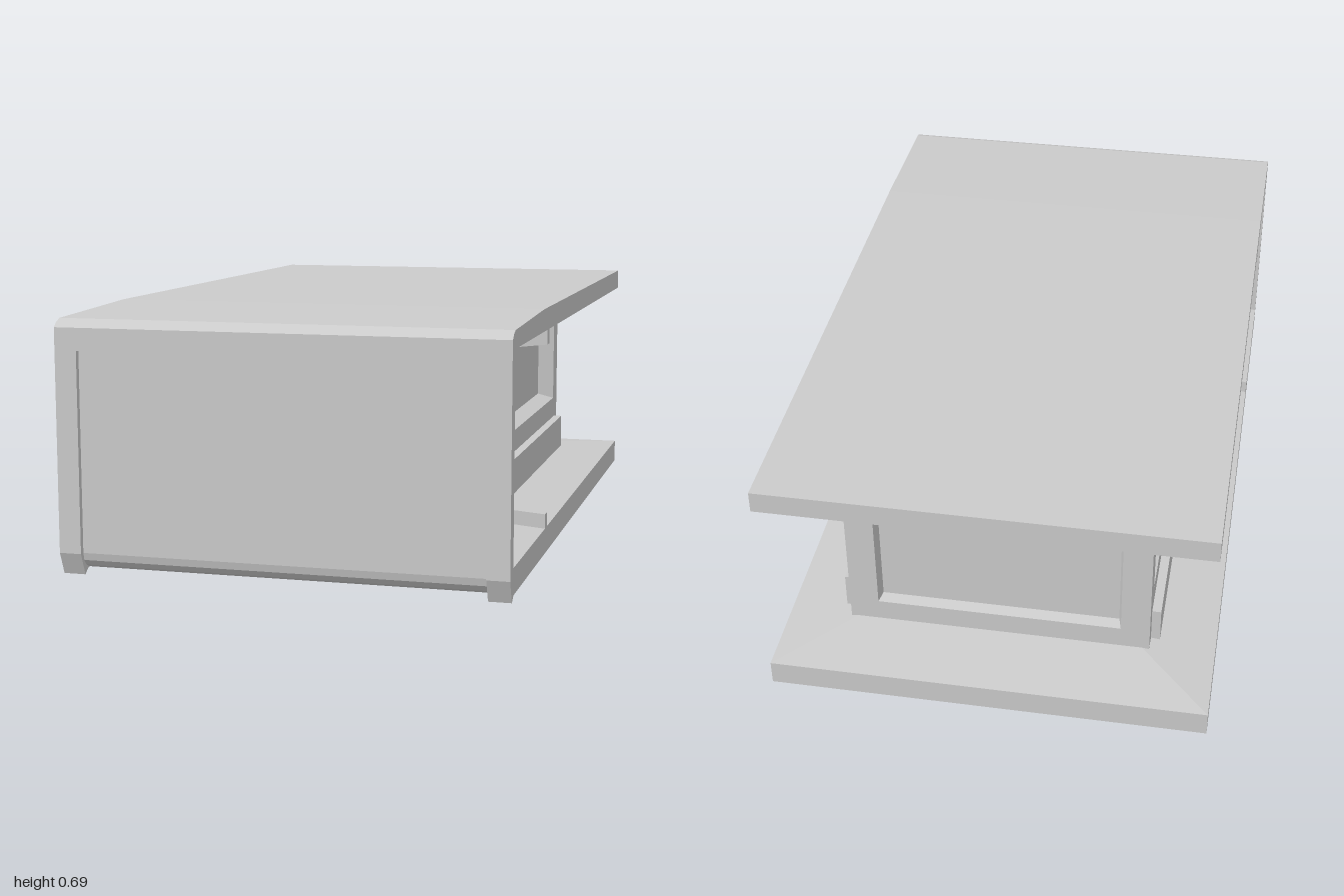
import * as THREE from 'three';

const material = new THREE.MeshStandardMaterial({ color: 0xcccccc, flatShading: true });

export function createModel() {
  const model = new THREE.Group();
  const add = (name, geometry) => {
    const mesh = new THREE.Mesh(geometry, material);
    mesh.name = name;
    model.add(mesh);
    return mesh;
  };
  const shapeOf = (pts) => new THREE.Shape(pts.map(([x, y]) => new THREE.Vector2(x, y)));

  // Extrudes a (z, y) profile across x from x0 to x1
  const acrossX = (pts, x0, x1) => new THREE.ExtrudeGeometry(shapeOf(pts), { depth: x1 - x0, bevelEnabled: false })
    .rotateY(-Math.PI / 2).translate(x1, 0, 0);

  // Flat wall facing +z with a recess whose edges slope inwards
  // rectangles are [left, right, bottom, top]
  const recessedWall = (outer, hole, slope, depth) => {
    const corners = ([l, r, b, t], z) => [[l, b, z], [r, b, z], [r, t, z], [l, t, z]];
    const [l, r, b, t] = hole;
    const inner = [l + slope, r - slope, b + slope, t - slope];
    const pos = [...corners(outer, 0), ...corners(hole, 0), ...corners(inner, -depth)].flat();
    const index = [];
    for (let ring = 0; ring < 8; ring += 4) {
      for (let i = 0; i < 4; i++) {
        const a = ring + i, c = ring + (i + 1) % 4;
        index.push(a, c, c + 4, a, c + 4, a + 4);
      }
    }
    index.push(8, 9, 10, 8, 10, 11);
    const g = new THREE.BufferGeometry();
    g.setAttribute('position', new THREE.Float32BufferAttribute(pos, 3));
    g.setIndex(index);
    const flat = g.toNonIndexed();
    flat.computeVertexNormals();
    return flat;
  };

  // Shell: roof, front plate and base as one C-shaped profile
  const inside = [[-1, 0.015], [-1, 0.085], [0.96, 0.085], [0.96, 0.63], [-1, 0.63], [-1, 0.69],
    [0.55, 0.69], [0.965, 0.676], [0.985, 0.668], [1, 0.655]];
  const endProfile = [...inside, [1, 0.06], [0.975, 0], [0.955, 0.015]];
  const middleProfile = [...inside, [1, 0.595], [0.985, 0.595], [0.985, 0.06], [0.98, 0.04], [0.968, 0.025], [0.945, 0.015]];
  add('shellMiddle', acrossX(middleProfile, -0.54, 0.54));
  add('shellEndLeft', acrossX(endProfile, 0.54, 0.6));
  add('shellEndRight', acrossX(endProfile, -0.6, -0.54));

  // Floor and ceiling slopes that thicken the slabs towards the middle
  for (const up of [1, -1]) {
    const g = new THREE.BoxGeometry(1.2, 0.045, 1.96);
    const p = g.attributes.position;
    for (let i = 0; i < p.count; i++) {
      if (p.getY(i) * up > 0) {
        p.setX(i, p.getX(i) / 3);
        if (p.getZ(i) < 0) p.setZ(i, -0.58);
      }
    }
    g.translate(0, up > 0 ? 0.1075 : 0.6075, -0.02);
    g.computeVertexNormals();
    add(up > 0 ? 'floorSlope' : 'ceilingSlope', g);
  }

  // Rear wall of the core
  add('rearWall', recessedWall([-0.42, 0.42, 0.085, 0.63], [-0.34, 0.34, 0.17, 0.56], 0.008, 0.03)
    .rotateY(Math.PI).translate(0, 0, -0.8));

  // Front of the core, pinched to a V on each side
  const half = [[0.42, 0.485], [0.38, 0.52], [0.2, 0.73], [0.2, 0.745], [0.38, 0.965]];
  const plan = [...half, ...half.map(([x, z]) => [-x, z]).reverse()].map(([x, z]) => [x, -z]);
  add('frontCore', new THREE.ExtrudeGeometry(shapeOf(plan), { depth: 0.545, bevelEnabled: false })
    .rotateX(-Math.PI / 2).translate(0, 0.085, 0));

  for (const s of [1, -1]) {
    const side = s > 0 ? 'Left' : 'Right';
    const span = (z0, z1) => (s > 0 ? [-z1, -z0] : [z0, z1]);

    // Side wall with its long window recess
    add('sideWall' + side, recessedWall([...span(-0.8, 0.485), 0.085, 0.63], [...span(-0.73, 0.47), 0.27, 0.565], 0.015, 0.05)
      .rotateY(s * Math.PI / 2).translate(s * 0.42, 0, 0));

    // Raised strip along the foot of the wall
    add('lowerStrip' + side, new THREE.BoxGeometry(0.04, 0.115, 1.255).translate(s * 0.425, 0.1475, -0.1275));

    // Ribs from the core to the slab edges, taller at the core
    for (const top of [false, true]) {
      const g = new THREE.BoxGeometry(0.26, 1, 0.032);
      const p = g.attributes.position;
      for (let i = 0; i < p.count; i++) {
        const outer = p.getX(i) * s > 0;
        const y = p.getY(i) > 0 ? (outer ? 0.125 : 0.152) : 0.08;
        p.setY(i, top ? y + 0.485 : y);
        if (top) p.setY(i, p.getY(i) > 0.57 ? 0.635 : (outer ? 0.59 : 0.563));
        p.setZ(i, p.getZ(i) + (outer ? 0.478 : 0.503));
        if (top && g.attributes.normal.getY(i) === 0) continue;
      }
      g.translate(s * 0.47, 0, 0);
      g.computeVertexNormals();
      add((top ? 'upperRib' : 'lowerRib') + side, g);
    }
  }
  return model;
}
